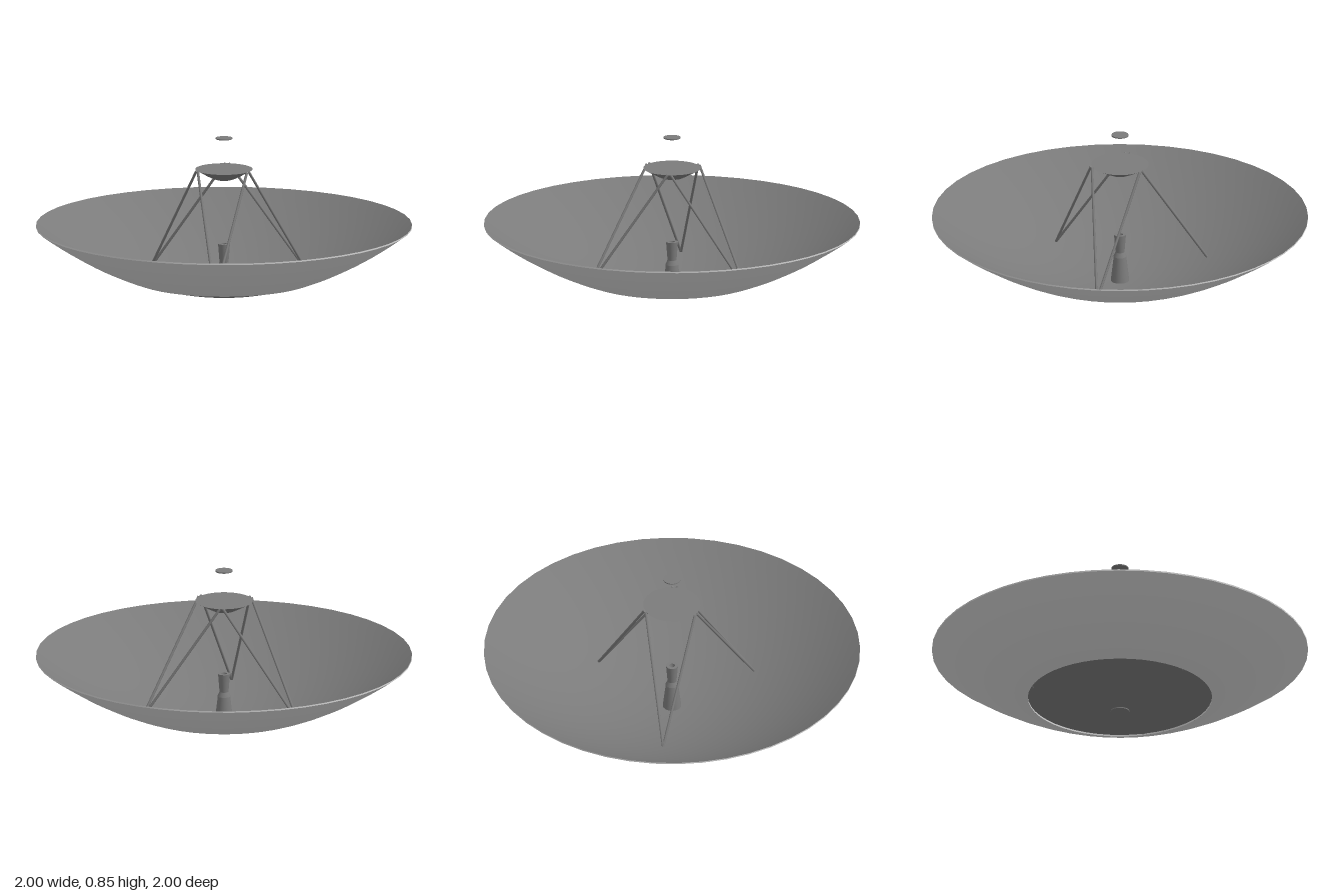
import * as THREE from 'three';

export function createModel() {
  const model = new THREE.Group();
  const grey = new THREE.MeshStandardMaterial({ color: 0x7b7b7b, side: THREE.DoubleSide });
  grey.name = 'mid grey';
  const pale = new THREE.MeshStandardMaterial({ color: 0xd2d2d2, side: THREE.DoubleSide });
  pale.name = 'pale grey';

  function add(name, geometry, parent = model, material = grey) {
    const mesh = new THREE.Mesh(geometry, material);
    mesh.name = name;
    parent.add(mesh);
    return mesh;
  }
  const lathe = (points, sides) =>
    new THREE.LatheGeometry(points.map(([r, y]) => new THREE.Vector2(r, y)), sides);

  // Parabolic curve from radius r0 to r1
  function parabola(r0, r1, base, k, steps) {
    const points = [];
    for (let i = 0; i <= steps; i++) {
      const r = r0 + (r1 - r0) * i / steps;
      points.push([r, base + k * r * r]);
    }
    return points;
  }

  // Main reflector: grey bowl with a pale outer shell and rim
  const dish = new THREE.Group();
  dish.name = 'dish';
  model.add(dish);
  add('reflectorBowl', lathe(parabola(0, 1, 0.005, 0.365, 20), 48), dish);
  add('outerShell', lathe(parabola(0.49, 1, -0.004, 0.366, 10), 48), dish, pale);
  add('dishRim', lathe([[1, 0.362], [1, 0.37]], 48), dish, pale);
  add('shellStep', lathe([[0.49, 0.084], [0.49, 0.0926]], 48), dish, pale);

  // Feed horn on the dish axis, with a recessed mouth
  const horn = new THREE.Group();
  horn.name = 'feedHorn';
  model.add(horn);
  add('hornBase', new THREE.CylinderGeometry(0.033, 0.05, 0.145, 24), horn).position.y = 0.0725;
  add('hornCollar', new THREE.CylinderGeometry(0.024, 0.035, 0.025, 24), horn).position.y = 0.1575;
  add('hornFlare', new THREE.CylinderGeometry(0.032, 0.024, 0.1, 24, 1, true), horn).position.y = 0.22;
  add('hornLip', lathe([[0.032, 0.27], [0.016, 0.27]], 24), horn);
  add('hornThroat', lathe([[0.016, 0.27], [0.012, 0.235], [0, 0.235]], 24), horn);

  // Secondary reflector: flat back, thin edge and curved underside
  const secondary = new THREE.Group();
  secondary.name = 'secondaryReflector';
  model.add(secondary);
  add('secondaryUnderside', lathe([
    [0, 0.613], [0.03, 0.616], [0.06, 0.625], [0.09, 0.64], [0.12, 0.657], [0.14, 0.668],
  ], 40), secondary);
  add('secondaryBack', new THREE.CylinderGeometry(0.153, 0.14, 0.007, 40), secondary).position.y = 0.6715;

  // Small disc above the secondary reflector
  add('upperDisc', new THREE.CylinderGeometry(0.045, 0.045, 0.006, 32)).position.y = 0.842;

  // Three pairs of struts, each pair meeting at one foot on the dish
  const polar = (r, degrees, y) => {
    const a = THREE.MathUtils.degToRad(degrees);
    return new THREE.Vector3(r * Math.sin(a), y, r * Math.cos(a));
  };
  for (const angle of [0, 120, 240]) {
    const foot = polar(0.48, angle, 0.086);
    for (const side of [-1, 1]) {
      const top = polar(0.157, angle + side * 56.5, 0.675);
      const path = new THREE.LineCurve3(foot, top);
      const strut = add('strut', new THREE.CylinderGeometry(0.007, 0.007, path.getLength(), 8));
      strut.position.copy(path.getPoint(0.5));
      strut.quaternion.setFromUnitVectors(new THREE.Vector3(0, 1, 0), path.getTangent(0));
    }
  }
  return model;
}
